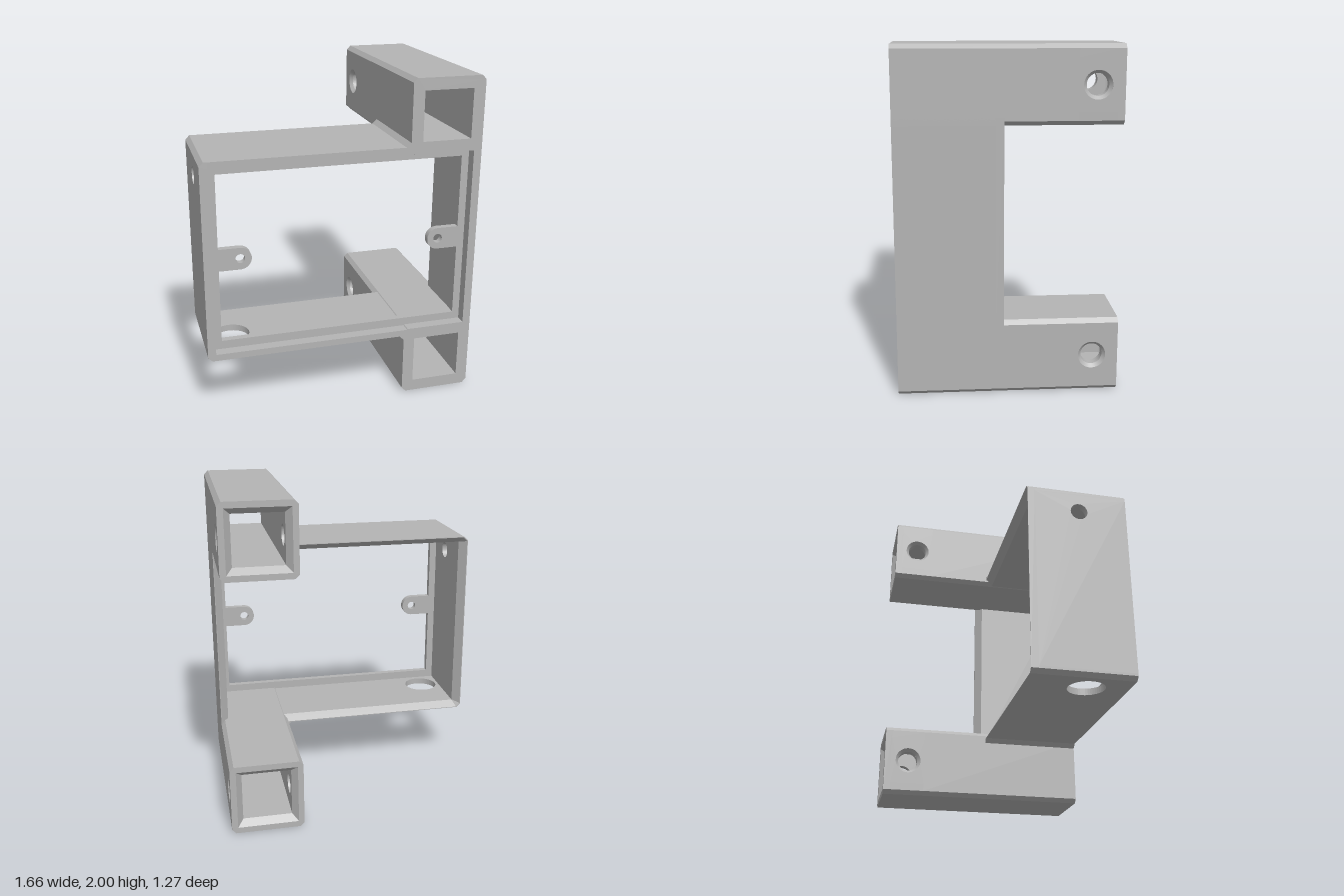
import * as THREE from 'three';

const grey = new THREE.MeshStandardMaterial({ color: 0xb4b4b4, side: THREE.DoubleSide });
grey.name = 'grey plastic';

// Rectangle corners, counter-clockwise, with cut corners (cl on the -x side, cr on the +x side)
const cutRect = (x0, x1, y0, y1, cl, cr = cl) => [
  [x0 + cl, y0], [x1 - cr, y0], [x1, y0 + cr], [x1, y1 - cr],
  [x1 - cr, y1], [x0 + cl, y1], [x0, y1 - cl], [x0, y0 + cl],
];
const rect = (x0, x1, y0, y1) => [[x0, y0], [x1, y0], [x1, y1], [x0, y1]];
const vecs = (pts) => pts.map(([x, y]) => new THREE.Vector2(x, y));
const circle = (x, y, r) => new THREE.Path().absarc(x, y, r, 0, Math.PI * 2, true);
const polyHole = (pts) => new THREE.Path(vecs(pts));

function prism(shape, holes, depth) {
  const s = shape instanceof THREE.Shape ? shape : new THREE.Shape(vecs(shape));
  s.holes.push(...holes);
  return new THREE.ExtrudeGeometry(s, { depth, bevelEnabled: false, curveSegments: 24 });
}
// Prisms along z, y and x between two planes
const alongZ = (shape, holes, z0, z1) => prism(shape, holes, z1 - z0).translate(0, 0, z0);
const alongY = (shape, holes, y0, y1) => prism(shape, holes, y1 - y0).rotateX(Math.PI / 2).translate(0, y1, 0);
const alongX = (shape, holes, x0, x1) => prism(shape, holes, x1 - x0).rotateY(-Math.PI / 2).translate(x1, 0, 0);

// Rear rim whose opening flares from innerFront (z1) to innerBack (z0)
function flaredRim(outer, innerBack, innerFront, z0, z1) {
  const loops = [[outer, z1], [outer, z0], [innerBack, z0], [innerFront, z1]];
  const pos = [];
  for (let k = 0; k < 3; k++) {
    const [p, zp] = loops[k], [q, zq] = loops[k + 1];
    for (let i = 0; i < p.length; i++) {
      const j = (i + 1) % p.length;
      const a = [...p[i], zp], b = [...q[i], zq], c = [...q[j], zq], d = [...p[j], zp];
      pos.push(...a, ...b, ...c, ...a, ...c, ...d);
    }
  }
  const g = new THREE.BufferGeometry();
  g.setAttribute('position', new THREE.Float32BufferAttribute(pos, 3));
  g.computeVertexNormals();
  return g;
}

function add(group, name, geometry) {
  const m = new THREE.Mesh(geometry, grey);
  m.name = name;
  group.add(m);
  return m;
}

const FRONT = 0.635, BACK = -0.635, BOX_BACK = 0.025, CUT = 0.025;
const X = 0.828, Y = 0.605;     // outer half size of the box
const IX = 0.78, IY = 0.565;    // inner half size of the box

function makeBox() {
  const g = new THREE.Group();
  g.name = 'box';
  const z0 = BOX_BACK + 0.045;

  // Walls
  add(g, 'rightWall', alongX(rect(z0, FRONT, -IY, IY), [circle(0.34, 0.45, 0.052)], -X, -IX));
  add(g, 'leftWall', alongX(rect(z0, FRONT, -IY, IY), [], IX, X));
  add(g, 'floor', alongY(rect(-IX, X, z0, FRONT), [circle(-0.65, 0.39, 0.11)], -Y, -IY));
  add(g, 'roof', alongY(rect(-IX, X, z0, FRONT), [], IY, Y));

  for (const s of [-1, 1]) {
    // Cut corner edges on the right side
    add(g, 'cornerEdge', alongZ(
      [[-X, s * IY], [-X, s * (Y - CUT)], [-X + CUT, s * Y], [-IX, s * Y], [-IX, s * IY]], [], z0, FRONT));
    // Small gussets where the box meets the tubes
    add(g, 'gusset', alongZ(
      [[0.36, s * Y], [0.39, s * (Y + 0.028)], [0.39, s * Y]], [], BOX_BACK, FRONT));
  }

  // Rear rim, bevelled inside to a thin edge
  add(g, 'rearRim', flaredRim(
    cutRect(-X, X, -Y, Y, CUT, 0.001),
    cutRect(-X + 0.004, X - 0.004, -Y + 0.004, Y - 0.004, CUT, 0.001),
    cutRect(-IX, IX, -IY, IY, 0.001), BOX_BACK, z0));

  // Recessed lip behind the front edge
  const lipBack = 0.53, lipFront = 0.57;
  add(g, 'lip', alongZ(rect(-IX, IX, -IY, IY), [polyHole(rect(-0.735, 0.735, -0.513, 0.513))], lipBack, lipFront));

  // Screw tabs
  for (const s of [-1, 1]) {
    const tab = new THREE.Shape();
    tab.moveTo(0.735, -0.067);
    tab.lineTo(0.735, 0.067);
    tab.lineTo(0.608, 0.067);
    tab.absarc(0.608, 0, 0.067, Math.PI / 2, Math.PI * 1.5, false);
    const geo = alongZ(tab, [circle(0.608, 0, 0.028)], lipBack, lipFront);
    if (s < 0) geo.rotateZ(Math.PI);
    add(g, 'screwTab', geo);
  }
  return g;
}

// Square tube with a flared rear mouth and a countersunk cross hole
function makeTube() {
  const g = new THREE.Group();
  g.name = 'tube';
  const x0 = 0.388, x1 = X, h = 0.22, ix0 = 0.458, ix1 = 0.756, ih = 0.148;
  const zMouth = BACK + 0.04, zSplit = -0.38, zHole = -0.485;
  const rHole = 0.062, rSink = 0.08, sink = 0.02;

  add(g, 'tubeBody', alongZ(cutRect(x0, x1, -h, h, CUT), [polyHole(rect(ix0, ix1, -ih, ih))], zSplit, FRONT));

  // Top and bottom slabs of the drilled section
  for (const s of [-1, 1]) {
    add(g, 'tubeSlab', alongZ(
      [[x0, s * ih], [x0, s * (h - CUT)], [x0 + CUT, s * h], [x1 - CUT, s * h], [x1, s * (h - CUT)], [x1, s * ih]],
      [], zMouth, zSplit));
  }

  // Drilled side walls: wide sink outside, narrow hole inside
  const side = rect(zMouth, zSplit, -ih, ih);
  const walls = [[x0, x0 + sink, ix0, 1], [x1, x1 - sink, ix1, -1]];
  for (const [out, mid, inner, dir] of walls) {
    add(g, 'sideOuter', alongX(side, [circle(zHole, 0, rSink)], Math.min(out, mid), Math.max(out, mid)));
    add(g, 'sideInner', alongX(side, [circle(zHole, 0, rHole)], Math.min(mid, inner), Math.max(mid, inner)));
    const cone = new THREE.CylinderGeometry(rSink, rHole, sink, 32, 1, true);
    cone.rotateZ(dir * Math.PI / 2).translate((out + mid) / 2, 0, zHole);
    add(g, 'countersink', cone);
  }

  // Flared mouth
  const f = 0.036;
  add(g, 'mouth', flaredRim(
    cutRect(x0, x1, -h, h, CUT),
    cutRect(ix0 - f, ix1 + f, -ih - f, ih + f, 0.001),
    cutRect(ix0, ix1, -ih, ih, 0.001), BACK, zMouth));
  return g;
}

export function createModel() {
  const model = new THREE.Group();
  model.name = 'mountingBracket';
  const box = makeBox();
  box.position.y = 1;
  model.add(box);
  for (const [name, y] of [['lowerTube', 0.22], ['upperTube', 1.78]]) {
    const tube = makeTube();
    tube.name = name;
    tube.position.y = y;
    model.add(tube);
  }
  return model;
}
